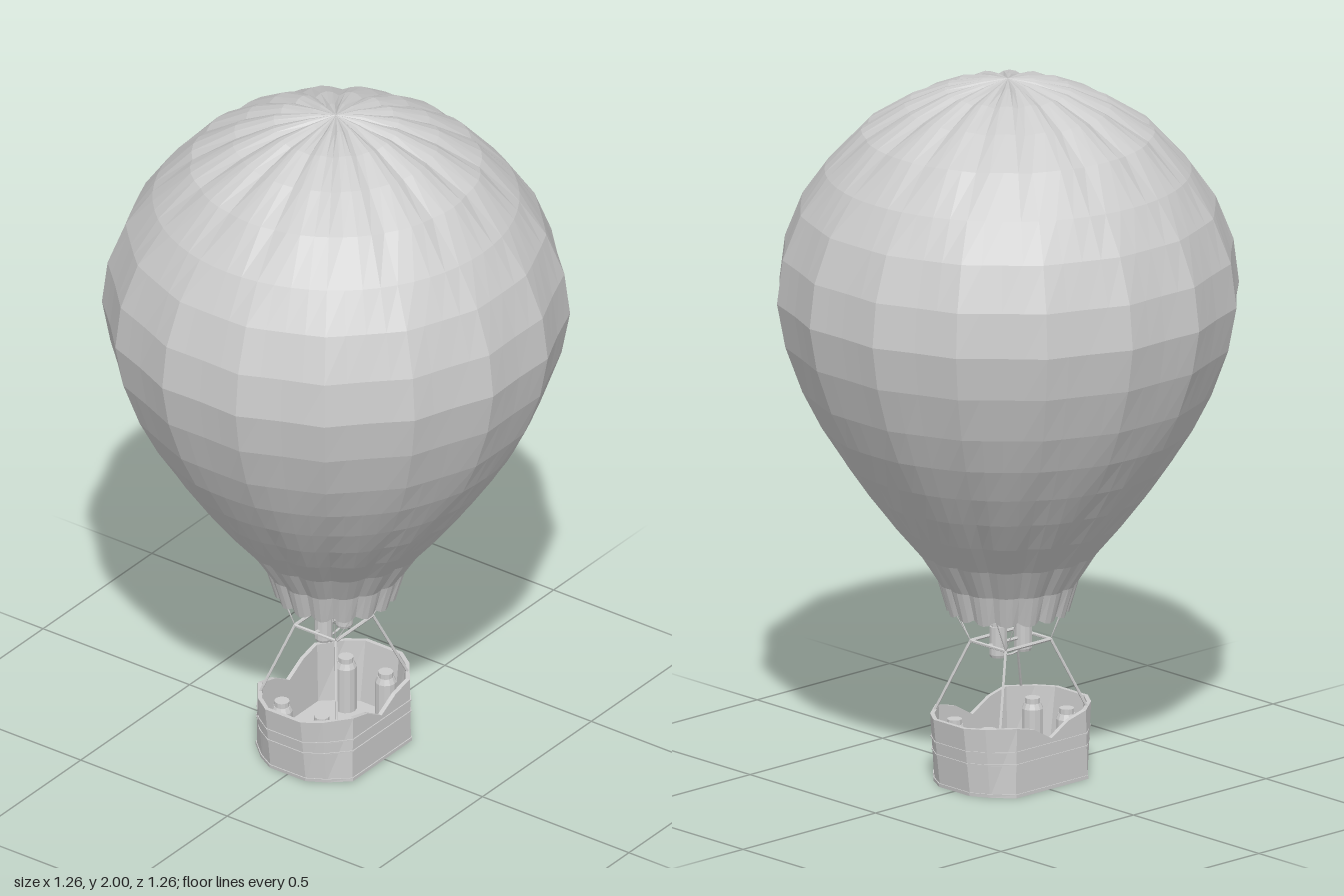
import * as THREE from 'three';

const grey = new THREE.MeshStandardMaterial({ color: 0xcccccc, flatShading: true, side: THREE.DoubleSide });
const V = (x, y, z) => new THREE.Vector3(x, y, z);

function add(parent, name, geometry, x = 0, y = 0, z = 0) {
  const mesh = new THREE.Mesh(geometry, grey);
  mesh.name = name;
  mesh.position.set(x, y, z);
  parent.add(mesh);
  return mesh;
}

// Skin between successive closed rings of points
function loft(rings) {
  const n = rings[0].length, index = [];
  for (let j = 0; j < rings.length - 1; j++) {
    for (let i = 0; i < n; i++) {
      const a = j * n + i, b = j * n + (i + 1) % n;
      index.push(a, a + n, b, b, a + n, b + n);
    }
  }
  const g = new THREE.BufferGeometry().setFromPoints(rings.flat());
  g.setIndex(index);
  g.computeVertexNormals();
  return g;
}

// Straight round bar from a to b
function bar(parent, name, a, b, r) {
  const d = b.clone().sub(a);
  const mesh = add(parent, name, new THREE.CylinderGeometry(r, r, d.length(), 6));
  mesh.position.copy(a).add(b).multiplyScalar(0.5);
  mesh.quaternion.setFromUnitVectors(V(0, 1, 0), d.normalize());
}

// Sixteen gores: flat at the widest ring, puffed out between sharp seams near both ends
function envelopeGeometry() {
  // y, radius, depth of the seam
  const profile = [
    [0.475, 0.168, 0.05], [0.565, 0.194, 0.05], [0.655, 0.252, 0.045], [0.745, 0.328, 0.035],
    [0.835, 0.396, 0.02], [0.925, 0.456, 0.005], [1.025, 0.514, -0.008], [1.13, 0.562, -0.017],
    [1.26, 0.605, -0.023], [1.385, 0.626, -0.026], [1.51, 0.612, -0.024], [1.635, 0.568, -0.016],
    [1.74, 0.503, 0], [1.85, 0.403, 0.022], [1.925, 0.285, 0.04], [1.972, 0.175, 0.045],
    [1.993, 0.075, 0.045], [2, 0, 0],
  ];
  const share = [0, 0.28, 1, 0.28];
  const rings = profile.map(([y, r, d], j) => {
    const ring = [];
    for (let i = 0; i < 64; i++) {
      const s = share[i % 4], a = i * Math.PI / 32;
      const rr = r * (1 - d * s);
      let yy = y;
      if (j === 0) yy += 0.012 * s;
      if (y > 1.8) yy -= d * s * 0.22;
      ring.push(V(rr * Math.sin(a), yy, rr * Math.cos(a)));
    }
    return ring;
  });
  return loft(rings.reverse());
}

// Basket outline at height y; the long walls have extra points for the dipped rim
function basketRing(y, inset = 0) {
  const t = y / 0.2;
  const fx = 0.135 - 0.005 * t - inset * 0.3, fz = 0.163 - inset;
  const cx = 0.182 + 0.018 * t - inset * 0.8, cz = 0.11 - inset * 0.6;
  const ex = 0.21 + 0.025 * t - inset, ez = 0.06 - inset * 0.2;
  const ring = [];
  for (const s of [1, -1]) {
    for (const k of [-1, -0.5, 0, 0.5, 1]) ring.push(V(s * k * fx, y, s * fz));
    ring.push(V(s * cx, y, s * cz), V(s * ex, y, s * ez), V(s * ex, y, -s * ez), V(s * cx, y, -s * cz));
  }
  return ring;
}

function dipRim(ring) {
  const drop = [0, 0.016, 0.053, 0.016, 0, 0, 0, 0, 0];
  ring.forEach((p, i) => { p.y -= drop[i % 9]; });
  return ring;
}

function basket() {
  const g = new THREE.Group();
  g.name = 'basket';
  const point = (y) => basketRing(y).map(() => V(0, y, 0));
  // Floor, inner wall, rim, outer wall and underside in one skin
  add(g, 'basketWall', loft([
    point(0.015), basketRing(0.015, 0.012), dipRim(basketRing(0.197, 0.012)),
    dipRim(basketRing(0.197)), basketRing(0), point(0),
  ]));
  // Thin bands around the wall and a rim at the foot
  for (const [y, h] of [[0.0, 0.01], [0.092, 0.004], [0.128, 0.004]]) {
    add(g, 'basketBand', loft([
      basketRing(y + h), basketRing(y + h, -0.003), basketRing(y, -0.003), basketRing(y),
    ]));
  }
  // Gas tanks in the corners
  const tank = new THREE.LatheGeometry([
    [0, 0.015], [0.03, 0.015], [0.03, 0.15], [0.023, 0.165], [0.021, 0.165], [0.021, 0.18], [0, 0.18],
  ].map(([x, y]) => new THREE.Vector2(x, y)), 12);
  for (const x of [-0.147, 0.147]) for (const z of [-0.068, 0.068]) add(g, 'gasTank', tank, x, 0, z);
  return g;
}

function burnerRig() {
  const g = new THREE.Group();
  g.name = 'burnerRig';
  const X = 0.085, Z = 0.07, Y = 0.39;
  for (const s of [-1, 1]) {
    bar(g, 'frameBar', V(-X, Y, s * Z), V(X, Y, s * Z), 0.005);
    bar(g, 'frameBar', V(s * X, Y, -Z), V(s * X, Y, Z), 0.005);
    // Ropes down to the basket and up to the mouth
    for (const t of [-1, 1]) {
      const corner = V(s * X, Y, t * Z);
      bar(g, 'basketRope', corner, V(s * 0.165, 0.19, t * 0.132), 0.004);
      for (const deg of [33.75, 56.25]) {
        const a = deg * Math.PI / 180;
        bar(g, 'mouthRope', corner, V(s * 0.16 * Math.cos(a) + 0.01, 0.5, t * 0.16 * Math.sin(a)), 0.0015);
      }
    }
    // Burner can
    add(g, 'burner', new THREE.LatheGeometry([
      [0, 0.352], [0.022, 0.352], [0.025, 0.36], [0.025, 0.44], [0.02, 0.44], [0.02, 0.39], [0, 0.39],
    ].map(([x, y]) => new THREE.Vector2(x, y)), 12), s * 0.047, 0, 0);
  }
  bar(g, 'burnerBar', V(-X, Y, 0), V(X, Y, 0), 0.005);
  // Hose linking the burners
  const hose = new THREE.CatmullRomCurve3([V(-0.047, 0.357, 0), V(0, 0.349, 0), V(0.047, 0.357, 0)]);
  add(g, 'hose', new THREE.TubeGeometry(hose, 8, 0.003, 6));
  return g;
}

export function createModel() {
  const model = new THREE.Group();
  add(model, 'envelope', envelopeGeometry());
  const gondola = new THREE.Group();
  gondola.name = 'gondola';
  gondola.position.x = -0.01;
  gondola.add(basket(), burnerRig());
  model.add(gondola);
  return model;
}
